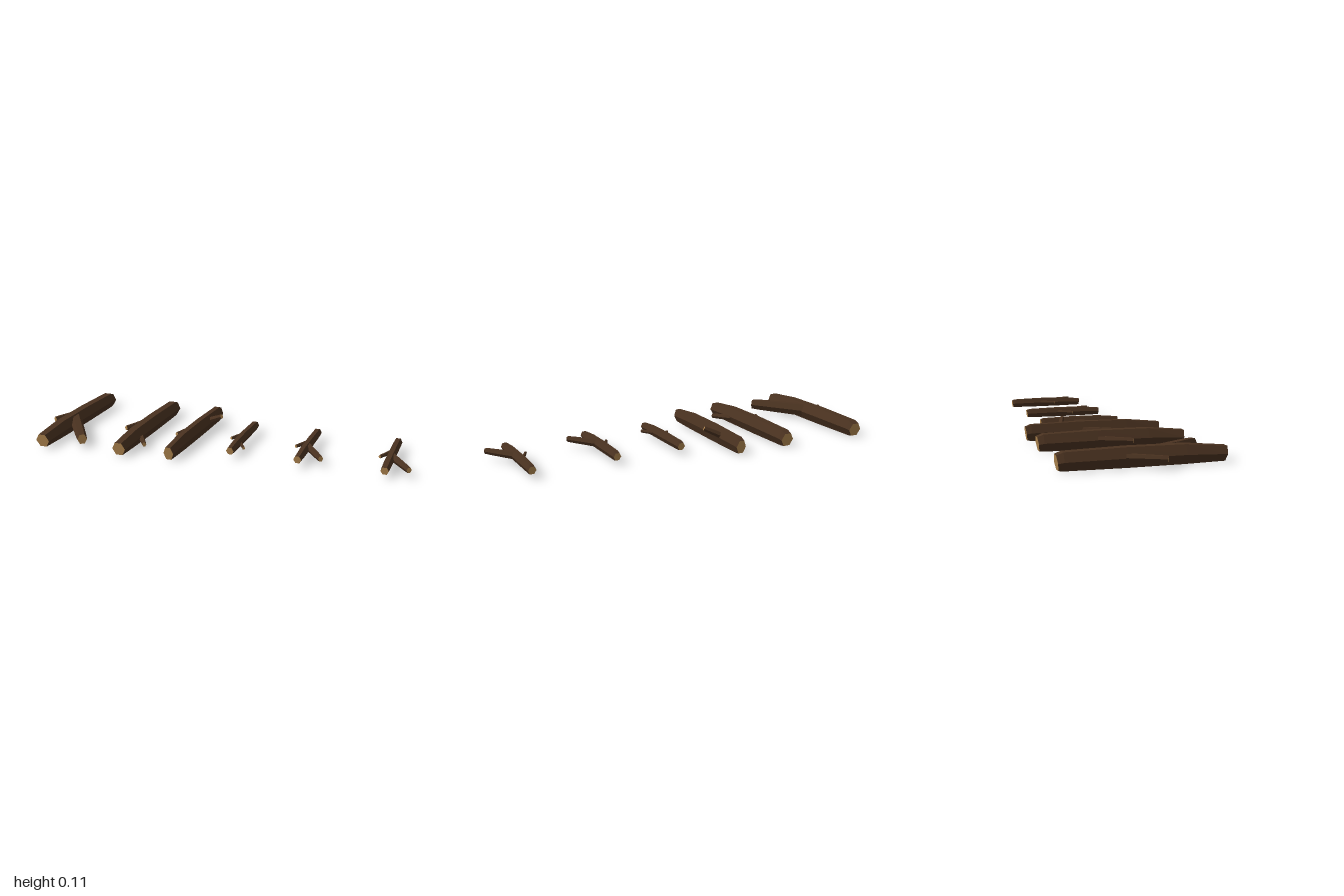
import * as THREE from 'three';

const SIDES = 6;
const bark = new THREE.MeshStandardMaterial({ color: 0x4a3220 });
bark.name = 'dark bark';
const cutWood = new THREE.MeshStandardMaterial({ color: 0xb0864f });
cutWood.name = 'cut wood';

// Faceted limb through rings [x, y, z, radiusAcross, radiusUp], with cut wood on both ends
function limb(name, rings, tilt = 0) {
  const point = (r) => new THREE.Vector3(r[0], r[1], r[2]);
  const last = rings.length - 1;
  const dir = point(rings[last]).sub(point(rings[0])).normalize();
  const side = new THREE.Vector3(0, 1, 0).cross(dir).normalize();
  const up = dir.clone().cross(side);
  const loops = rings.map((r, i) => {
    const lean = i === 0 ? -tilt : i === last ? tilt : 0;
    return Array.from({ length: SIDES }, (_, j) => {
      const a = (j / SIDES) * Math.PI * 2;
      return point(r)
        .addScaledVector(side, Math.cos(a) * r[3])
        .addScaledVector(up, (Math.sin(a) * r[4]) / Math.sin(Math.PI / 3))
        .addScaledVector(dir, Math.sin(a) * lean);
    });
  });
  const pos = [];
  const tri = (...pts) => pts.forEach((p) => pos.push(p.x, p.y, p.z));
  for (let i = 0; i < last; i++) {
    for (let j = 0; j < SIDES; j++) {
      const k = (j + 1) % SIDES;
      tri(loops[i][j], loops[i][k], loops[i + 1][k]);
      tri(loops[i][j], loops[i + 1][k], loops[i + 1][j]);
    }
  }
  const wall = pos.length / 3;
  for (let j = 1; j < SIDES - 1; j++) {
    tri(loops[last][0], loops[last][j], loops[last][j + 1]);
    tri(loops[0][0], loops[0][j + 1], loops[0][j]);
  }
  const geo = new THREE.BufferGeometry();
  geo.setAttribute('position', new THREE.Float32BufferAttribute(pos, 3));
  geo.addGroup(0, wall, 0);
  geo.addGroup(wall, pos.length / 3 - wall, 1);
  geo.computeVertexNormals(); // unshared corners give flat facets
  const mesh = new THREE.Mesh(geo, [bark, cutWood]);
  mesh.name = name;
  return mesh;
}

// Trunk lying along z, slimmer at both cut ends
function trunk({ x, lean = 0, back, front, y, w, h }) {
  const at = (t, wide, tall, drop) => [
    x + lean * (t - 0.5), y - drop * h, back + (front - back) * t, w * wide, h * tall,
  ];
  return limb('trunk', [
    at(0, 0.9, 0.74, 0.16),
    at(0.035, 0.97, 0.9, 0.06),
    at(0.4, 1, 1, 0),
    at(0.75, 1, 0.97, 0),
    at(1, 0.9, 0.74, 0.16),
  ], h * 0.12);
}

// Branch from a base inside the trunk to a slightly thinner tip
function branch(name, from, to, r0, r1) {
  const mid = from.map((v, i) => v + (to[i] - v) * 0.85);
  return limb(name, [[...from, r0, r0], [...mid, r1 * 1.12, r1 * 1.12], [...to, r1, r1]]);
}

const big = { y: 0.05, h: 0.045 };
const small = { y: 0.051, h: 0.025, w: 0.0225, back: -0.222, front: 0.203 };
const logs = [
  {
    name: 'largeForkedLog',
    trunk: { ...big, x: -0.883, w: 0.042, back: -0.385, front: 0.382 },
    left: [[-0.88, 0.054, 0.04], [-0.685, 0.052, 0.315], 0.034, 0.025],
    right: [[-0.9, 0.052, -0.1], [-0.987, 0.052, 0.077], 0.017, 0.012],
  },
  {
    name: 'largeTwigLog',
    trunk: { ...big, x: -0.452, w: 0.04, back: -0.366, front: 0.358 },
    left: [[-0.44, 0.042, 0.125], [-0.362, 0.038, 0.243], 0.015, 0.011],
    right: [[-0.465, 0.052, -0.1], [-0.547, 0.052, 0.077], 0.017, 0.011],
  },
  {
    name: 'leaningLog',
    trunk: { ...big, x: -0.18, lean: -0.014, w: 0.03, back: -0.361, front: 0.332 },
    left: [[-0.18, 0.05, -0.19], [-0.078, 0.1, -0.15], 0.016, 0.011],
    right: [[-0.185, 0.052, -0.1], [-0.248, 0.052, 0.077], 0.016, 0.01],
  },
  {
    name: 'smallTwigLog',
    trunk: { ...small, x: 0.095 },
    left: [[0.1, 0.046, 0.06], [0.146, 0.044, 0.134], 0.009, 0.007],
    right: [[0.09, 0.052, -0.06], [0.044, 0.052, 0.036], 0.01, 0.007],
  },
  {
    name: 'smallForkedLog',
    trunk: { ...small, x: 0.447 },
    left: [[0.45, 0.053, 0.015], [0.555, 0.051, 0.163], 0.018, 0.013],
    right: [[0.442, 0.052, -0.06], [0.394, 0.052, 0.036], 0.01, 0.007],
  },
  {
    name: 'endForkedLog',
    trunk: { ...small, x: 0.876 },
    left: [[0.88, 0.053, 0.015], [0.985, 0.051, 0.163], 0.018, 0.013],
    right: [[0.87, 0.052, -0.06], [0.823, 0.052, 0.036], 0.01, 0.007],
  },
];

export function createModel() {
  const model = new THREE.Group();
  model.name = 'fallenLogs';
  for (const spec of logs) {
    const log = new THREE.Group();
    log.name = spec.name;
    log.add(trunk(spec.trunk), branch('leftBranch', ...spec.left), branch('rightBranch', ...spec.right));
    model.add(log);
  }
  return model;
}
